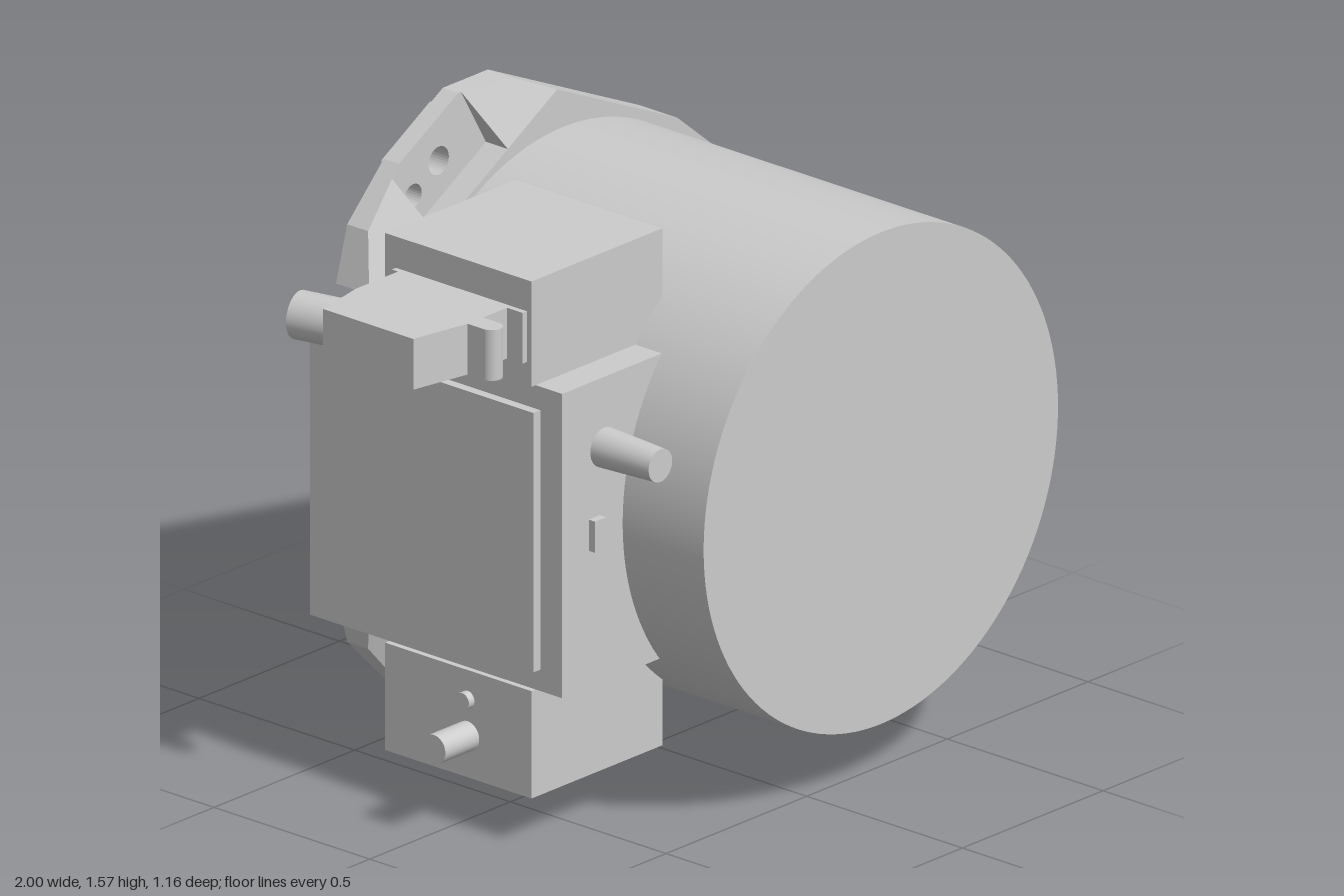
import * as THREE from 'three';
import { ConvexGeometry } from 'three/addons/geometries/ConvexGeometry.js';

const CX = 0.175, CY = 0.785;            // axis of the drum
const SLOT = [0.395, 1.18];              // slot cut into the plate, low and high y
const Z_BACK = -0.56, Z_STEP = -0.51, Z_FRONT = -0.44;
const RAMP_IN = 0.645, RAMP_OUT = 0.825, POCKET = 0.145;

// Keep the part of a polygon where n . p <= d
function clip(poly, nx, ny, d) {
  const out = [];
  poly.forEach((a, i) => {
    const b = poly[(i + 1) % poly.length];
    const da = nx * a[0] + ny * a[1] - d, db = nx * b[0] + ny * b[1] - d;
    if (da <= 0) out.push(a);
    if ((da < 0 && db > 0) || (da > 0 && db < 0)) {
      const t = da / (da - db);
      out.push([a[0] + t * (b[0] - a[0]), a[1] + t * (b[1] - a[1])]);
    }
  });
  return out;
}

function slab(points, z0, z1, holes = []) {
  const shape = new THREE.Shape(points.map(p => new THREE.Vector2(p[0], p[1])));
  for (const [x, y, r] of holes) {
    shape.holes.push(new THREE.Path().absarc(x, y, r, 0, Math.PI * 2, true));
  }
  return new THREE.ExtrudeGeometry(shape, { depth: z1 - z0, bevelEnabled: false, curveSegments: 16 })
    .translate(0, 0, z0);
}

export function createModel() {
  const model = new THREE.Group();
  const material = new THREE.MeshStandardMaterial({ color: 0xcccccc });

  function add(name, geometry) {
    const mesh = new THREE.Mesh(geometry, material);
    mesh.name = name;
    model.add(mesh);
    return mesh;
  }
  function box(name, x0, x1, y0, y1, z0, z1) {
    return add(name, new THREE.BoxGeometry(x1 - x0, y1 - y0, z1 - z0)
      .translate((x0 + x1) / 2, (y0 + y1) / 2, (z0 + z1) / 2));
  }
  function rod(name, from, to, r0, r1 = r0, sides = 32) {
    const a = new THREE.Vector3(...from), b = new THREE.Vector3(...to);
    const dir = b.clone().sub(a);
    const mesh = add(name, new THREE.CylinderGeometry(r1, r0, dir.length(), sides));
    mesh.position.copy(a).add(b).multiplyScalar(0.5);
    mesh.quaternion.setFromUnitVectors(new THREE.Vector3(0, 1, 0), dir.normalize());
    return mesh;
  }

  // Drum
  rod('drum', [CX, CY, Z_FRONT], [CX, CY, 0.58], 0.63, 0.63, 128);

  // Plate outline: upper half mirrored about the drum axis
  const upper = [[1, 0.97], [0.58, 1.32], [0.04, 1.57], [-0.12, 1.57],
    [-0.33, 1.45], [-0.46, 1.32], [-0.5, SLOT[1]]];
  const lower = upper.map(([x, y]) => [x, 2 * CY - y]).reverse();
  const hull = [...upper, ...lower];
  const outline = [...upper, [0.067, SLOT[1]], [0.067, 2 * CY - SLOT[1]], ...lower];

  // Three mounting lugs, a third of a turn apart
  const lugs = [0, 1, 2].map(k => {
    const angle = k * Math.PI * 2 / 3, c = Math.cos(angle), s = Math.sin(angle);
    return { angle, c, s, at: (r, t) => [CX + r * c - t * s, CY + r * s + t * c] };
  });
  const boltHoles = [[0.73, 0, 0.036], [0.72, 0.11, 0.03]];
  const holes = lugs.flatMap(l => boltHoles.map(([r, t, h]) => [...l.at(r, t), h]));
  add('plateBase', slab(outline, Z_BACK, Z_STEP, holes));

  let core = outline;
  for (const { c, s } of lugs) core = clip(core, c, s, RAMP_IN + c * CX + s * CY);
  add('plateFront', slab(core, Z_STEP, Z_FRONT));

  const padOutline = [[0.81, 0.1], [0.735, 0.175], [0.61, 0.09],
    [0.61, -0.09], [0.735, -0.17], [0.81, -0.1]];
  lugs.forEach(({ angle, c, s }, k) => {
    // Ramped cheeks either side of the pocket
    let lug = clip(hull, -c, -s, -(RAMP_IN + c * CX + s * CY));
    if (k === 1) lug = clip(lug, 0, -1, -SLOT[1]);
    if (k === 2) lug = clip(lug, 0, 1, 2 * CY - SLOT[1]);
    for (const side of [-1, 1]) {
      const nx = side * s, ny = -side * c;
      const cheek = clip(lug, nx, ny, nx * CX + ny * CY - POCKET);
      const points = [];
      for (const [x, y] of cheek) {
        const r = (x - CX) * c + (y - CY) * s;
        const z = Z_FRONT + (Z_STEP - Z_FRONT) * (r - RAMP_IN) / (RAMP_OUT - RAMP_IN);
        points.push(new THREE.Vector3(x, y, Z_STEP));
        if (z > Z_STEP + 0.002) points.push(new THREE.Vector3(x, y, z));
      }
      add('lugCheek', new ConvexGeometry(points));
    }
    // Raised contact pad on the back
    const pad = add('mountingPad', slab(padOutline, -0.58, Z_BACK, boltHoles));
    pad.position.set(CX, CY, 0);
    pad.rotation.z = angle;
  });

  // Side housing
  box('housing', -0.67, 0.03, 0.4, 1.18, -0.49, 0.32);
  box('upperBox', -0.685, -0.22, 1.18, 1.45, -0.235, 0.235);
  box('lowerBox', -0.685, -0.22, 0.125, 0.4, -0.235, 0.235);
  box('sidePanel', -0.695, -0.67, 0.455, 1.12, -0.27, 0.25);

  // Upper plug, drawn in plan and stood up
  const plug = [[-0.68, -0.18], [-0.85, -0.18], [-1, -0.15], [-1, 0.14], [-0.84, 0.17], [-0.68, 0.17]];
  add('plugBody', slab(plug, -1.37, -1.24).rotateX(Math.PI / 2));
  box('plugFlange', -0.7, -0.68, 1.24, 1.37, -0.2, 0.22);
  box('plugLatch', -0.84, -0.785, 1.24, 1.37, 0.16, 0.225);
  const latchTip = rod('plugLatchTip', [-0.8125, 1.24, 0.222], [-0.8125, 1.37, 0.222], 0.0275);
  latchTip.castShadow = false;
  rod('cableOutlet', [-0.915, 1.305, -0.15], [-0.943, 1.305, -0.28], 0.06);

  // Lower fitting and pin
  rod('lowerFitting', [-0.68, 0.232, 0.03], [-0.805, 0.232, 0.03], 0.037);
  rod('lowerPin', [-0.68, 0.325, 0.03], [-0.705, 0.325, 0.03], 0.022);

  // Front fitting and tab
  rod('frontFitting', [-0.52, 1, 0.32], [-0.52, 1, 0.5], 0.05, 0.042);
  box('frontTab', -0.575, -0.535, 0.75, 0.83, 0.32, 0.34);

  return model;
}
